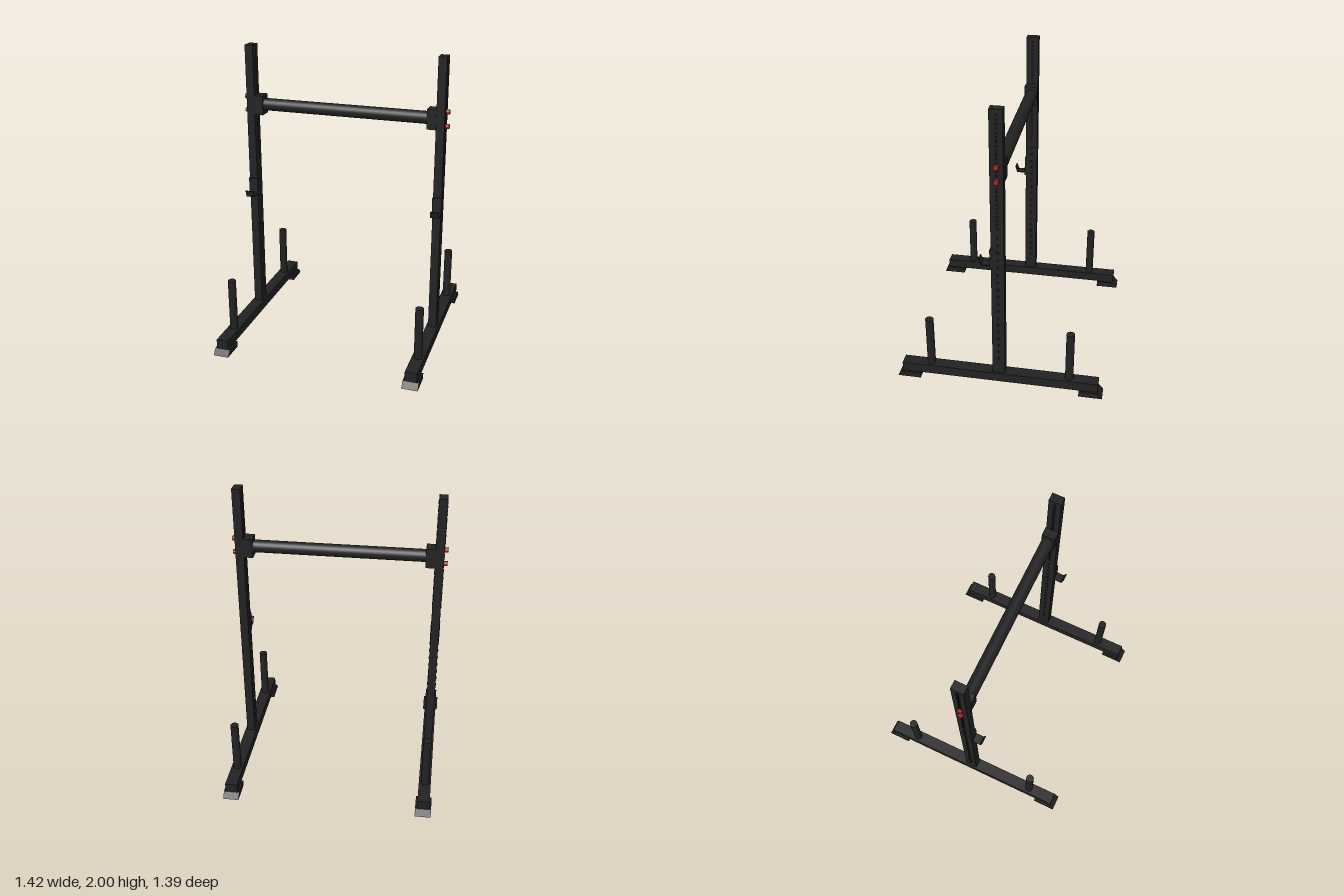
import * as THREE from 'three';
import { mergeGeometries } from 'three/addons/utils/BufferGeometryUtils.js';

const SIDE_X = 0.656;

export function createModel() {
  const root = new THREE.Group();
  root.name = 'squatRack';

  const steel = new THREE.MeshStandardMaterial({ color: 0x222222 });
  steel.name = 'dark steel';
  const holeBlack = new THREE.MeshStandardMaterial({ color: 0x151515 });
  holeBlack.name = 'hole black';
  const boltRed = new THREE.MeshStandardMaterial({ color: 0xb02525 });
  boltRed.name = 'bolt red';

  const add = (parent, name, geometry, material, x = 0, y = 0, z = 0) => {
    const mesh = new THREE.Mesh(geometry, material);
    mesh.name = name;
    mesh.position.set(x, y, z);
    parent.add(mesh);
    return mesh;
  };
  const box = (w, h, d) => new THREE.BoxGeometry(w, h, d);
  const crossRod = (r, length, sides) =>
    new THREE.CylinderGeometry(r, r, length, sides).rotateZ(Math.PI / 2);

  // Side profile given as [z, y] points, extruded across x
  const profile = (points, width) => {
    const shape = new THREE.Shape(points.map(([z, y]) => new THREE.Vector2(-z, y)));
    return new THREE.ExtrudeGeometry(shape, { depth: width, bevelEnabled: false })
      .translate(0, 0, -width / 2)
      .rotateY(Math.PI / 2);
  };

  // Foot with a sloped toe
  const footGeometry = profile([[0.54, 0], [0.697, 0], [0.662, 0.04], [0.54, 0.04]], 0.107);

  // Bent bar rest: shelf and raised lip
  const hookGeometry = profile([
    [0.045, 0.948], [0.107, 0.945], [0.122, 0.99], [0.116, 0.992], [0.102, 0.952], [0.045, 0.955],
  ], 0.06);

  // Adjustment holes: wide spacing below, close spacing above
  const holeHeights = [];
  for (let y = 0.22; y < 1.2; y += 0.055) holeHeights.push(y);
  for (let y = 1.22; y < 1.97; y += 0.0275) holeHeights.push(y);
  const holeGeometry = mergeGeometries(
    holeHeights.map((y) => crossRod(0.01, 0.062, 10).translate(0, y, 0)));

  for (const s of [1, -1]) {
    const side = new THREE.Group();
    side.name = s > 0 ? 'leftSide' : 'rightSide';
    side.position.x = s * SIDE_X;
    root.add(side);

    add(side, 'baseRail', box(0.082, 0.065, 1.33), steel, 0, 0.0725, 0);
    add(side, 'upright', box(0.056, 1.9, 0.084), steel, 0, 1.05, 0);
    add(side, 'adjustmentHoles', holeGeometry, holeBlack);

    // Feet and plate storage posts, front and back
    for (const f of [1, -1]) {
      const foot = add(side, f > 0 ? 'frontFoot' : 'backFoot', footGeometry, steel);
      foot.rotation.y = f > 0 ? 0 : Math.PI;
      add(side, f > 0 ? 'frontPost' : 'backPost',
        new THREE.CylinderGeometry(0.0275, 0.0275, 0.365, 24), steel, 0, 0.2825, f * 0.47);
    }

    // Bar rest
    add(side, 'hookPlate', box(0.063, 0.138, 0.01), steel, 0, 0.996, 0.045);
    add(side, 'hook', hookGeometry, steel);

    // Crossbar bracket and its bolts
    add(side, 'crossbarBracket', box(0.061, 0.132, 0.09), steel, s * -0.0585, 1.592, 0);
    for (const y of [1.642, 1.545]) {
      add(side, 'bolt', crossRod(0.016, 0.03, 12), boltRed, s * 0.037, y, 0);
    }
  }

  add(root, 'crossbar', crossRod(0.042, 1.16, 32), steel, 0, 1.594, 0);
  return root;
}
